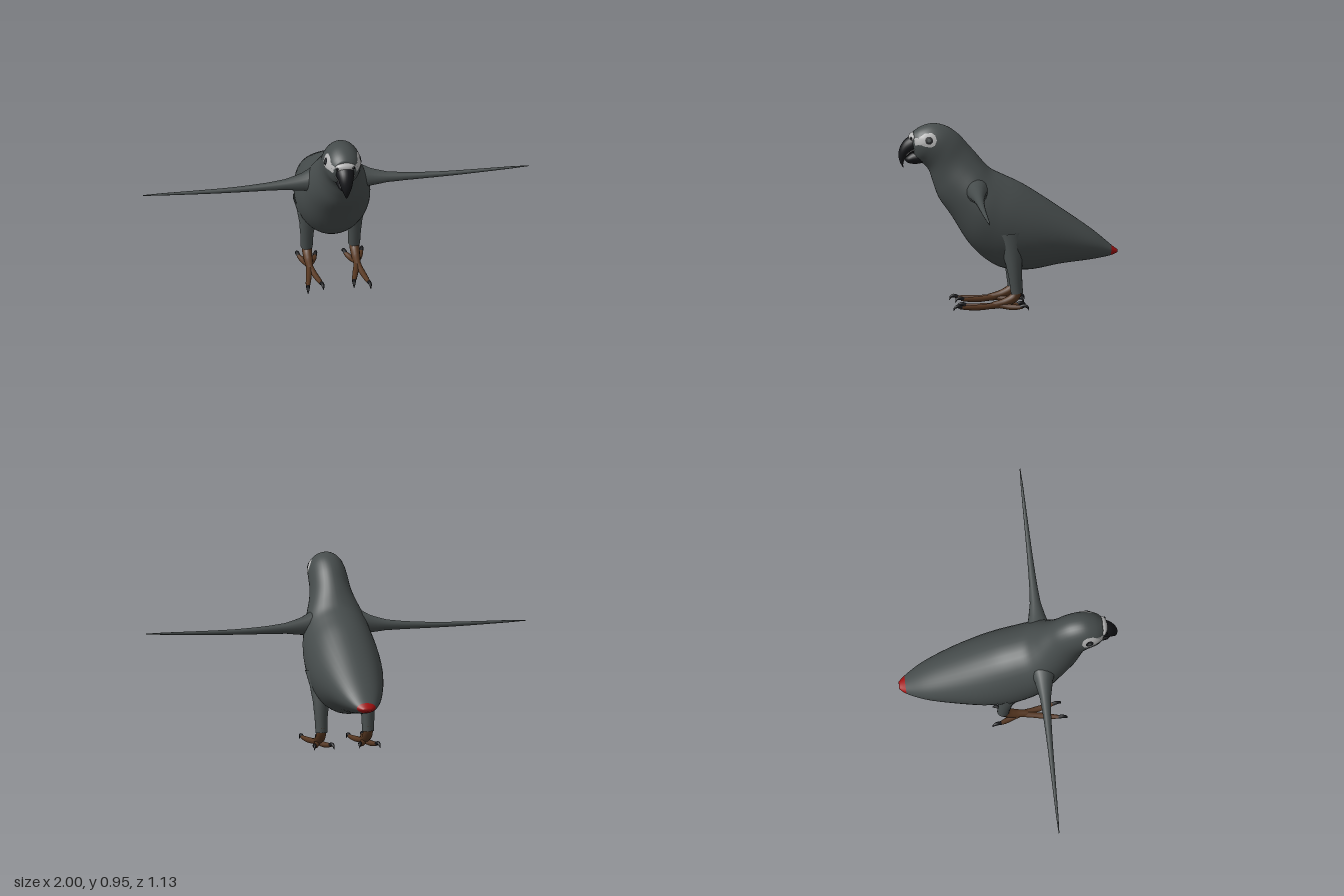
import * as THREE from 'three';

const mat = (color) => new THREE.MeshStandardMaterial({ color, roughness: 0.9, side: THREE.DoubleSide });
const grey = mat(0x464c4c), red = mat(0xa01010), black = mat(0x16171a);
const pale = mat(0xb4b4b4), brown = mat(0x553620);

// Sections along the bird: [upper z, upper y, lower z, lower y, half width]
const BODY = [
  [-0.56, 0.287, -0.56, 0.273, 0.02], [-0.535, 0.305, -0.53, 0.26, 0.045],
  [-0.44, 0.385, -0.43, 0.24, 0.098], [-0.3, 0.485, -0.27, 0.22, 0.145],
  [-0.16, 0.58, -0.1, 0.19, 0.178], [-0.06, 0.642, 0.03, 0.2, 0.188],
  [0.03, 0.685, 0.11, 0.24, 0.187], [0.09, 0.715, 0.2, 0.325, 0.18],
  [0.13, 0.753, 0.295, 0.475, 0.155], [0.17, 0.8, 0.36, 0.57, 0.127],
  [0.21, 0.845, 0.39, 0.65, 0.108], [0.26, 0.9, 0.412, 0.715, 0.1],
  [0.32, 0.94, 0.445, 0.75, 0.096], [0.39, 0.955, 0.475, 0.77, 0.088],
  [0.45, 0.94, 0.49, 0.8, 0.072], [0.49, 0.915, 0.5, 0.83, 0.048],
];
const UPPER_BEAK = [
  [0.47, 0.915, 0.46, 0.78, 0.052], [0.51, 0.89, 0.5, 0.8, 0.045],
  [0.54, 0.865, 0.515, 0.79, 0.038], [0.56, 0.83, 0.53, 0.775, 0.03],
  [0.567, 0.79, 0.538, 0.76, 0.02], [0.557, 0.75, 0.542, 0.742, 0.01],
  [0.542, 0.725, 0.54, 0.725, 0.002],
];
const LOWER_BEAK = [
  [0.44, 0.82, 0.44, 0.75, 0.05], [0.49, 0.81, 0.48, 0.745, 0.04],
  [0.52, 0.79, 0.515, 0.75, 0.03], [0.537, 0.775, 0.532, 0.762, 0.01],
];

// Smooth section at t (0..1): upper edge, lower edge, half width
function sectioner(rows) {
  const up = new THREE.CatmullRomCurve3(rows.map((r) => new THREE.Vector3(r[4], r[1], r[0])));
  const low = new THREE.CatmullRomCurve3(rows.map((r) => new THREE.Vector3(0, r[3], r[2])));
  return (t) => {
    const a = up.getPoint(t), b = low.getPoint(t), w = a.x;
    a.x = 0;
    return { a, b, w };
  };
}

// Skin elliptical sections between t0 and t1, closing the chosen ends
function loft(rows, t0, t1, steps, sides, caps) {
  const at = sectioner(rows), pos = [], idx = [];
  for (let i = 0; i <= steps; i++) {
    const { a, b, w } = at(t0 + (t1 - t0) * i / steps);
    for (let j = 0; j < sides; j++) {
      const q = j / sides * Math.PI * 2, f = (1 + Math.cos(q)) / 2;
      pos.push(w * Math.sin(q), b.y + (a.y - b.y) * f, b.z + (a.z - b.z) * f);
      if (i === steps) continue;
      const k = (j + 1) % sides, p = i * sides, n = p + sides;
      idx.push(p + j, n + j, n + k, p + j, n + k, p + k);
    }
  }
  [0, 1].forEach((end) => {
    if (!caps[end]) return;
    const { a, b } = at(end ? t1 : t0), c = pos.length / 3, base = end * steps * sides;
    pos.push(0, (a.y + b.y) / 2, (a.z + b.z) / 2);
    for (let j = 0; j < sides; j++) {
      const k = (j + 1) % sides;
      idx.push(c, base + (end ? k : j), base + (end ? j : k));
    }
  });
  return build(pos, idx);
}

function build(pos, idx) {
  const g = new THREE.BufferGeometry();
  g.setAttribute('position', new THREE.Float32BufferAttribute(pos, 3));
  g.setIndex(idx);
  g.computeVertexNormals();
  return g;
}

// Tube whose radius follows an evenly spaced list
function taper(points, radii, steps = 16, sides = 10) {
  const curve = new THREE.CatmullRomCurve3(points.map((p) => new THREE.Vector3(...p)));
  const g = new THREE.TubeGeometry(curve, steps, 1, sides), P = g.attributes.position;
  const v = new THREE.Vector3();
  for (let i = 0; i < P.count; i++) {
    const u = Math.floor(i / (sides + 1)) / steps, k = u * (radii.length - 1);
    const n = Math.min(Math.floor(k), radii.length - 2);
    const c = curve.getPointAt(u), r = THREE.MathUtils.lerp(radii[n], radii[n + 1], k - n);
    v.fromBufferAttribute(P, i).sub(c).multiplyScalar(r).add(c);
    P.setXYZ(i, v.x, v.y, v.z);
  }
  return g;
}

// Half width of the body skin at a point of the side profile
const bodyAt = sectioner(BODY);
function skinX(z, y) {
  let lo = 0.4, hi = 1;
  for (let i = 0; i < 24; i++) {
    const t = (lo + hi) / 2, { a, b } = bodyAt(t);
    if ((z - b.z) * (a.y - b.y) - (y - b.y) * (a.z - b.z) > 0) lo = t; else hi = t;
  }
  const { a, b, w } = bodyAt(lo);
  const f = THREE.MathUtils.clamp((y - b.y) / (a.y - b.y), 0, 1);
  return w * Math.sqrt(1 - (2 * f - 1) ** 2);
}

// Patch lying on the skin, fanned in rings from a centre to an outline of [z, y]
function patch(center, outline, lift, s) {
  const n = outline.length, rings = 8, pos = [], idx = [];
  for (let i = 0; i <= rings; i++) outline.forEach(([oz, oy], j) => {
    const z = center[0] + (oz - center[0]) * i / rings, y = center[1] + (oy - center[1]) * i / rings;
    pos.push(s * (skinX(z, y) + lift), y, z);
    if (i === rings) return;
    const k = (j + 1) % n, p = i * n, q = p + n;
    const quad = [p + j, q + j, q + k, p + j, q + k, p + k];
    idx.push(...(s > 0 ? quad : quad.reverse()));
  });
  return build(pos, idx);
}
const circle = ([z, y], r) => Array.from({ length: 16 }, (_, i) =>
  [z - r * Math.cos(i * Math.PI / 8), y + r * Math.sin(i * Math.PI / 8)]);

export function createModel() {
  const model = new THREE.Group();
  const add = (name, geometry, material, parent = model) => {
    const m = new THREE.Mesh(geometry, material);
    m.name = name;
    parent.add(m);
    return m;
  };

  // Body, head and red tail tip
  const split = 1.1 / 15;
  add('body', loft(BODY, split, 1, 60, 40, [false, true]), grey);
  add('tailTip', loft(BODY, 0, split, 6, 40, [true, false]), red);

  // Beak and the pale cere above it
  add('upperBeak', loft(UPPER_BEAK, 0, 1, 24, 24, [true, true]), black);
  add('lowerBeak', loft(LOWER_BEAK, 0, 1, 12, 24, [true, true]), black);
  const cere = add('cere', new THREE.SphereGeometry(1, 24, 16), pale);
  cere.scale.set(0.052, 0.024, 0.022);
  cere.position.set(0, 0.885, 0.493);

  const eye = [0.415, 0.88];
  const face = [[0.49, 0.885], [0.455, 0.9], [0.435, 0.914], [0.4, 0.917], [0.382, 0.905],
    [0.375, 0.88], [0.385, 0.855], [0.405, 0.845], [0.435, 0.848], [0.455, 0.856], [0.485, 0.85]];

  for (const s of [1, -1]) {
    const side = new THREE.Group();
    side.name = s > 0 ? 'leftSide' : 'rightSide';
    model.add(side);
    const limb = (name, pts, radii, material, steps, sides) =>
      add(name, taper(pts.map(([x, y, z]) => [s * x, y, z]), radii, steps, sides), material, side);

    // Face patch, eye, nostril and mouth line
    add('facePatch', patch(eye, face, 0.002, s), pale, side);
    add('eye', patch(eye, circle(eye, 0.02), 0.004, s), black, side);
    add('iris', patch(eye, circle(eye, 0.009), 0.005, s), grey, side);
    const nostril = add('nostril', new THREE.SphereGeometry(0.007, 12, 8), black, side);
    nostril.position.set(s * 0.042, 0.885, 0.504);
    limb('mouthLine', [[0.05, 0.828, 0.485], [0.036, 0.812, 0.51], [0.022, 0.79, 0.53]], [0.002, 0.002], pale, 8, 6);

    // Slender outstretched wing
    limb('wing', [[0.08, 0.625, 0.172], [0.2, 0.606, 0.17], [0.5, 0.592, 0.168], [1, 0.598, 0.165]],
      [0.08, 0.047, 0.028, 0.021, 0.017, 0.014, 0.012, 0.01, 0.008, 0.006, 0.002], grey, 40, 16);

    // Feathered thigh and bare shank
    limb('thigh', [[0.11, 0.4, 0], [0.122, 0.22, -0.022], [0.123, 0.085, -0.035]], [0.09, 0.062, 0.043, 0.034, 0.031], grey, 16, 16);
    limb('shank', [[0.123, 0.12, -0.04], [0.123, 0.07, -0.025], [0.123, 0.04, 0.025], [0.123, 0.024, 0.09]],
      [0.026, 0.026, 0.022, 0.017], brown);

    // Two toes forward, two back, each with a hooked claw
    for (const [x, z, from] of [[0.158, 0.25, 0.06], [0.085, 0.225, 0.06], [0.162, -0.05, 0.05], [0.08, -0.04, 0.05]]) {
      const d = Math.sign(z);
      const k = (x - 0.123) / Math.abs(z - from) * 0.6;
      limb('toe', [[0.123, 0.025, from], [(0.123 + x) / 2, 0.017, (from + z) / 2], [x, 0.019, z], [x + k * 0.012, 0.02, z + d * 0.012]],
        [0.018, 0.015, 0.015, 0.013, 0.008], brown);
      limb('claw', [[x, 0.02, z], [x + k * 0.02, 0.027, z + d * 0.02], [x + k * 0.036, 0.021, z + d * 0.036], [x + k * 0.045, 0.004, z + d * 0.043]],
        [0.01, 0.01, 0.007, 0.001], black, 10, 8);
    }
  }
  return model;
}
